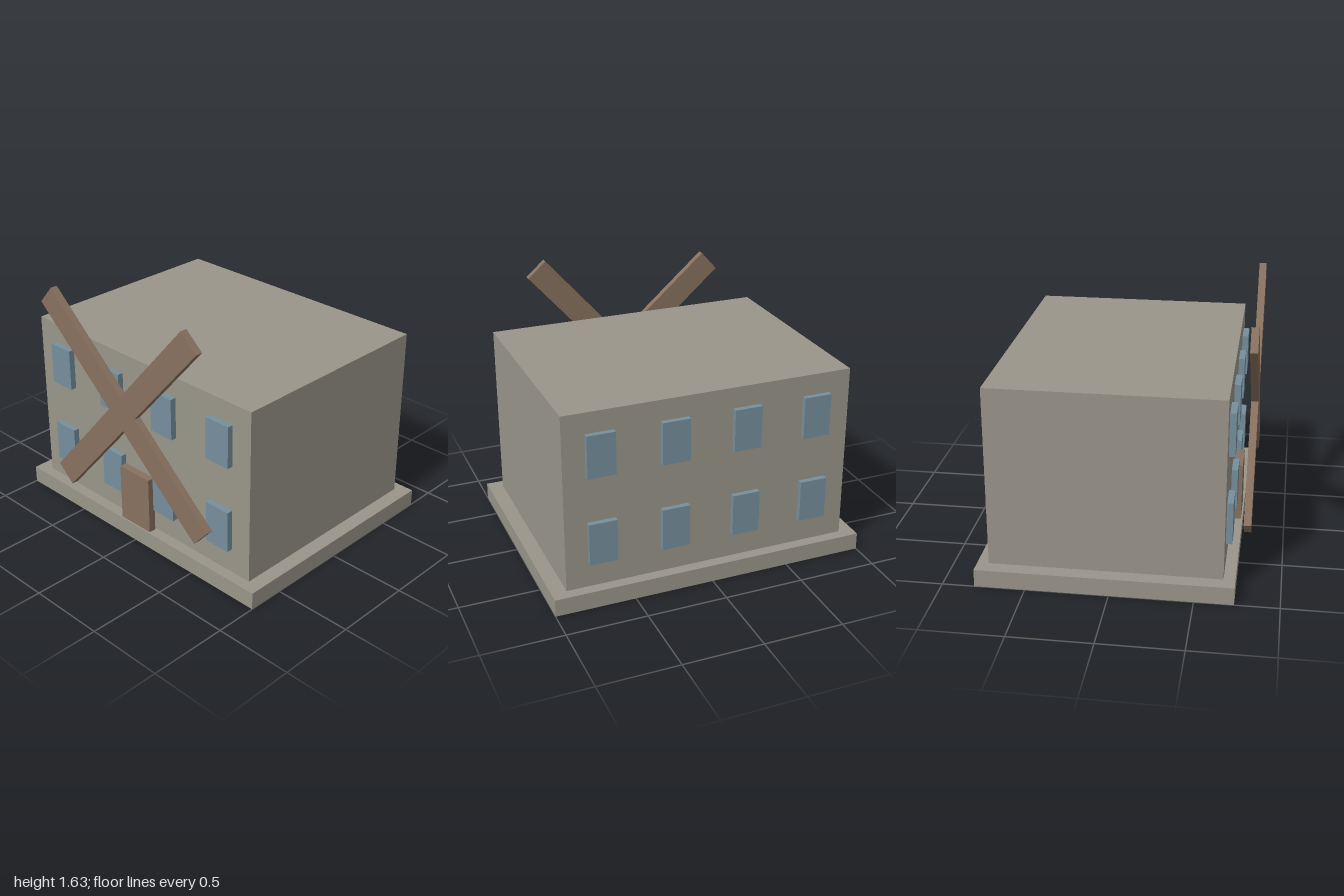
import * as THREE from 'three';

const material = (name, color) => {
  const m = new THREE.MeshStandardMaterial({ color });
  m.name = name;
  return m;
};

// Box given by its min and max corners
function block(name, mat, [x0, y0, z0], [x1, y1, z1]) {
  const mesh = new THREE.Mesh(new THREE.BoxGeometry(x1 - x0, y1 - y0, z1 - z0), mat);
  mesh.position.set((x0 + x1) / 2, (y0 + y1) / 2, (z0 + z1) / 2);
  mesh.name = name;
  return mesh;
}

export function createModel() {
  const stone = material('stone', 0x99958a);
  const wood = material('wood', 0x87715f);
  const glass = material('glass', 0x768f9c);

  const model = new THREE.Group();
  model.name = 'mill';

  // Plinth and main building
  model.add(block('plinth', stone, [-1, 0, -0.805], [1, 0.11, 0.735]));
  model.add(block('building', stone, [-0.907, 0.11, -0.735], [0.907, 1.23, 0.665]));

  // Door, standing slightly proud of the front wall
  model.add(block('door', wood, [-0.128, 0.11, 0.678], [0.125, 0.483, 0.725]));

  // Two rows of four windows on the front and back walls
  const windows = new THREE.Group();
  windows.name = 'windows';
  for (const [side, z0, z1] of [['front', 0.665, 0.703], ['back', -0.769, -0.735]])
    for (const y of [0.27, 0.832])
      for (const x of [-0.683, -0.228, 0.227, 0.682])
        windows.add(block(side + 'Window', glass, [x - 0.087, y, z0], [x + 0.087, y + 0.267, z1]));
  model.add(windows);

  // Sails: one cross-shaped outline, extruded and turned
  const r = 0.867, w = 0.079;
  const corners = [];
  for (let i = 0; i < 4; i++) {
    for (const [x, y] of [[r, -w], [r, w], [w, w]])
      corners.push(new THREE.Vector2(x, y).rotateAround(new THREE.Vector2(), i * Math.PI / 2));
  }
  const sails = new THREE.Mesh(
    new THREE.ExtrudeGeometry(new THREE.Shape(corners), { depth: 0.045, bevelEnabled: false }), wood);
  sails.name = 'sails';
  sails.position.set(-0.002, 0.925, 0.76);
  sails.rotation.z = THREE.MathUtils.degToRad(48.7);
  model.add(sails);

  return model;
}
